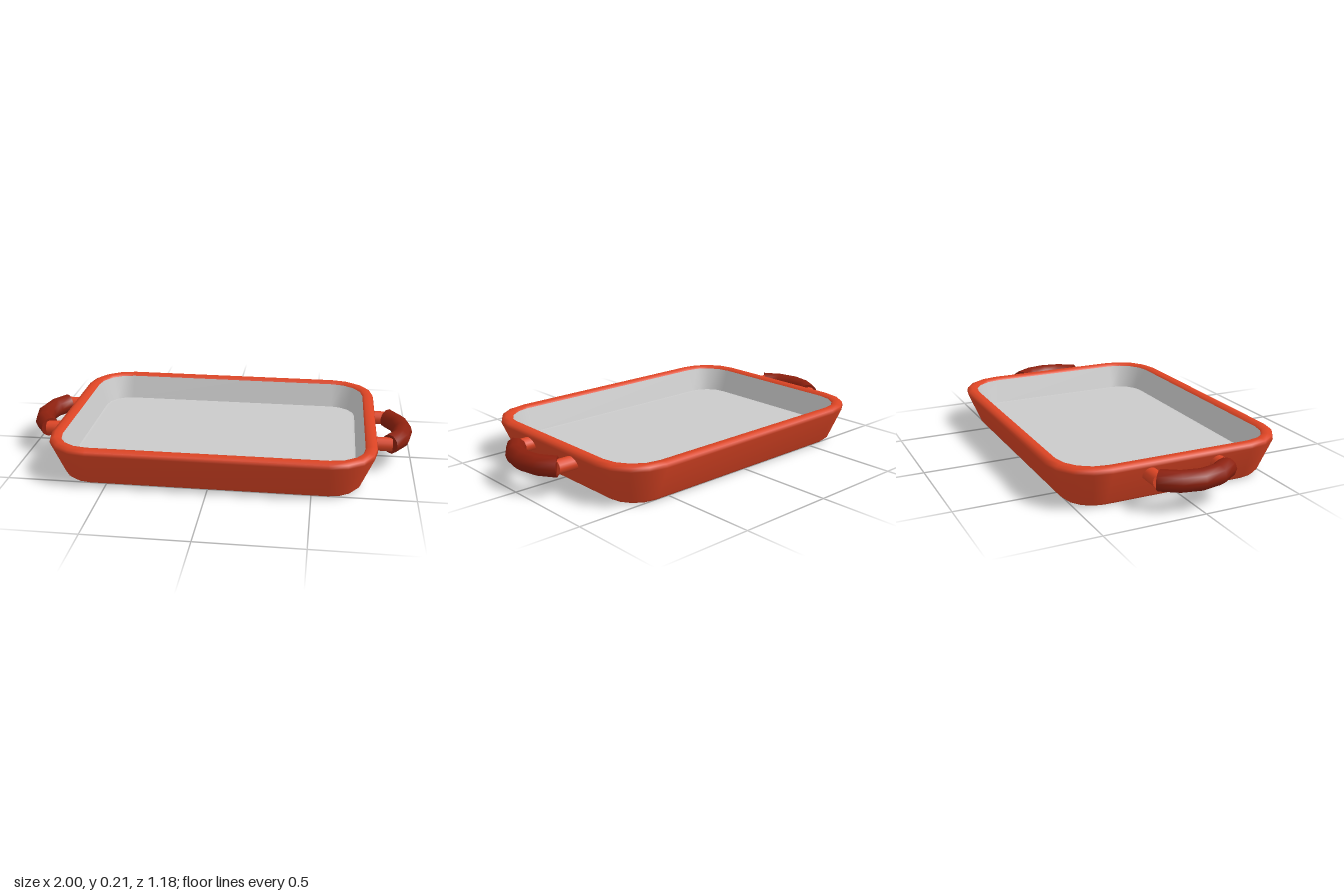
import * as THREE from 'three';

const red = new THREE.MeshStandardMaterial({ color: 0xdb4424 });
red.name = 'red enamel';
const darkRed = new THREE.MeshStandardMaterial({ color: 0x8c200e });
darkRed.name = 'dark red grip';
const grey = new THREE.MeshStandardMaterial({ color: 0xcacaca });
grey.name = 'light grey lining';

// Corner centres of the rounded rectangle and steps per corner
const CX = 0.58, CZ = 0.36, STEPS = 4;

// Rounded rectangle grown by r around the corner centres
function ring(r, y) {
  const pts = [];
  for (let q = 0; q < 4; q++) {
    const sx = q === 0 || q === 3 ? 1 : -1;
    const sz = q < 2 ? 1 : -1;
    for (let k = 0; k <= STEPS; k++) {
      const a = (q + k / STEPS) * Math.PI / 2;
      pts.push([sx * CX + r * Math.cos(a), y, sz * CZ + r * Math.sin(a)]);
    }
  }
  return pts;
}

// Loft rings along a [growth, height] profile; optionally close to a centre point
function loft(profile, startCap = false, endCap = false) {
  const n = 4 * (STEPS + 1);
  const pos = [], index = [];
  for (const [r, y] of profile) for (const p of ring(r, y)) pos.push(...p);
  for (let i = 0; i < profile.length - 1; i++) {
    for (let j = 0; j < n; j++) {
      const a = i * n + j, b = i * n + (j + 1) % n;
      index.push(a, a + n, b, b, a + n, b + n);
    }
  }
  const cap = (row, atStart) => {
    const c = pos.length / 3;
    pos.push(0, profile[row][1], 0);
    for (let j = 0; j < n; j++) {
      const a = row * n + j, b = row * n + (j + 1) % n;
      if (atStart) index.push(c, a, b);
      else index.push(c, b, a);
    }
  };
  if (startCap) cap(0, true);
  if (endCap) cap(profile.length - 1, false);
  const g = new THREE.BufferGeometry();
  g.setAttribute('position', new THREE.Float32BufferAttribute(pos, 3));
  g.setIndex(index);
  g.computeVertexNormals();
  return g;
}

function part(name, geometry, material) {
  const m = new THREE.Mesh(geometry, material);
  m.name = name;
  return m;
}

// Curved grip on two short posts, on the +x side
function makeHandle(name) {
  const R = 0.245, r = 0.05, x0 = 0.705, y0 = 0.145, half = Math.PI / 4;
  const handle = new THREE.Group();
  handle.name = name;

  const place = (g) => g.rotateX(Math.PI / 2).translate(x0, y0, 0);
  const grip = new THREE.TorusGeometry(R, r, 10, 4, half * 2).rotateZ(-half);
  handle.add(part('grip', place(grip), darkRed));

  for (const s of [1, -1]) {
    const end = new THREE.CircleGeometry(r, 10)
      .rotateX(-s * Math.PI / 2).translate(R, 0, 0).rotateZ(s * half);
    handle.add(part('gripEnd', place(end), darkRed));

    const post = new THREE.CylinderGeometry(0.035, 0.035, 0.13, 12)
      .rotateZ(Math.PI / 2).translate(0.825, y0, s * 0.175);
    handle.add(part('handlePost', post, red));
  }
  return handle;
}

export function createModel() {
  const model = new THREE.Group();
  model.name = 'bakingDish';

  // Outer shell from the underside up and over the rounded rim
  model.add(part('dishShell', loft([
    [0.12, 0], [0.143, 0.002], [0.16, 0.018], [0.23, 0.182],
    [0.225, 0.2], [0.205, 0.208], [0.18, 0.206], [0.17, 0.195],
  ], true), red));

  // Inner lining
  model.add(part('innerWall', loft([[0.17, 0.195], [0.132, 0.072]]), grey));
  model.add(part('innerFloor', loft([[0.132, 0.072], [0.12, 0.07]], false, true), grey));

  // Handles on both ends
  model.add(makeHandle('leftHandle'));
  const right = makeHandle('rightHandle');
  right.rotation.y = Math.PI;
  model.add(right);

  return model;
}
